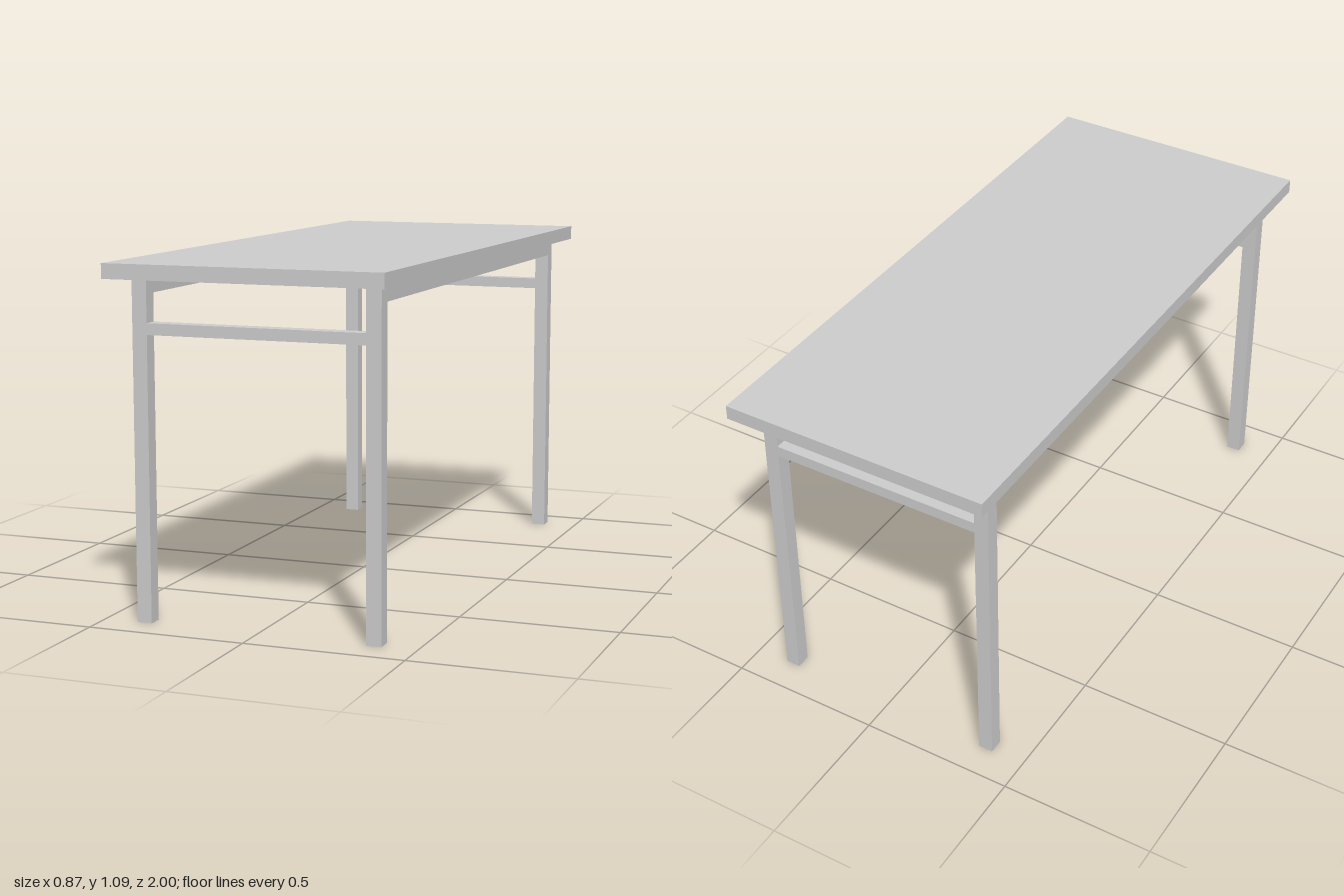
import * as THREE from 'three';

export function createModel() {
  const group = new THREE.Group();
  group.name = 'table';
  const material = new THREE.MeshStandardMaterial({ color: 0xcccccc, flatShading: true });
  const tubeMaterial = new THREE.MeshStandardMaterial({
    color: 0xcccccc, flatShading: true, side: THREE.DoubleSide,
  });

  const add = (name, geometry, mat, x, y, z) => {
    const mesh = new THREE.Mesh(geometry, mat);
    mesh.name = name;
    mesh.position.set(x, y, z);
    group.add(mesh);
  };

  const bar = 0.047;      // width of the square frame bars
  const under = 1.046;    // underside of the top
  const legX = 0.368, legZ = 0.874;

  // Table top
  add('tableTop', new THREE.BoxGeometry(0.874, 0.046, 2), material, 0, under + 0.023, 0);

  // Square tube legs, open at the foot
  const leg = new THREE.CylinderGeometry(bar / Math.SQRT2, bar / Math.SQRT2, under, 4, 1, true);
  leg.rotateY(Math.PI / 4);
  for (const sx of [-1, 1]) {
    for (const sz of [-1, 1]) {
      const name = (sz > 0 ? 'front' : 'back') + (sx > 0 ? 'Left' : 'Right') + 'Leg';
      add(name, leg, tubeMaterial, sx * legX, under / 2, sz * legZ);
    }
  }

  // Long rails under the top
  const rail = new THREE.BoxGeometry(bar, 0.05, 2 * legZ - bar);
  for (const s of [-1, 1]) {
    add(s > 0 ? 'leftRail' : 'rightRail', rail, material, s * legX, under - 0.025, 0);
  }

  // Short stretchers between the legs at each end
  const stretcher = new THREE.BoxGeometry(2 * legX - bar, 0.035, bar);
  for (const s of [-1, 1]) {
    add(s > 0 ? 'frontStretcher' : 'backStretcher', stretcher, material, 0, 0.892, s * legZ);
  }

  return group;
}
